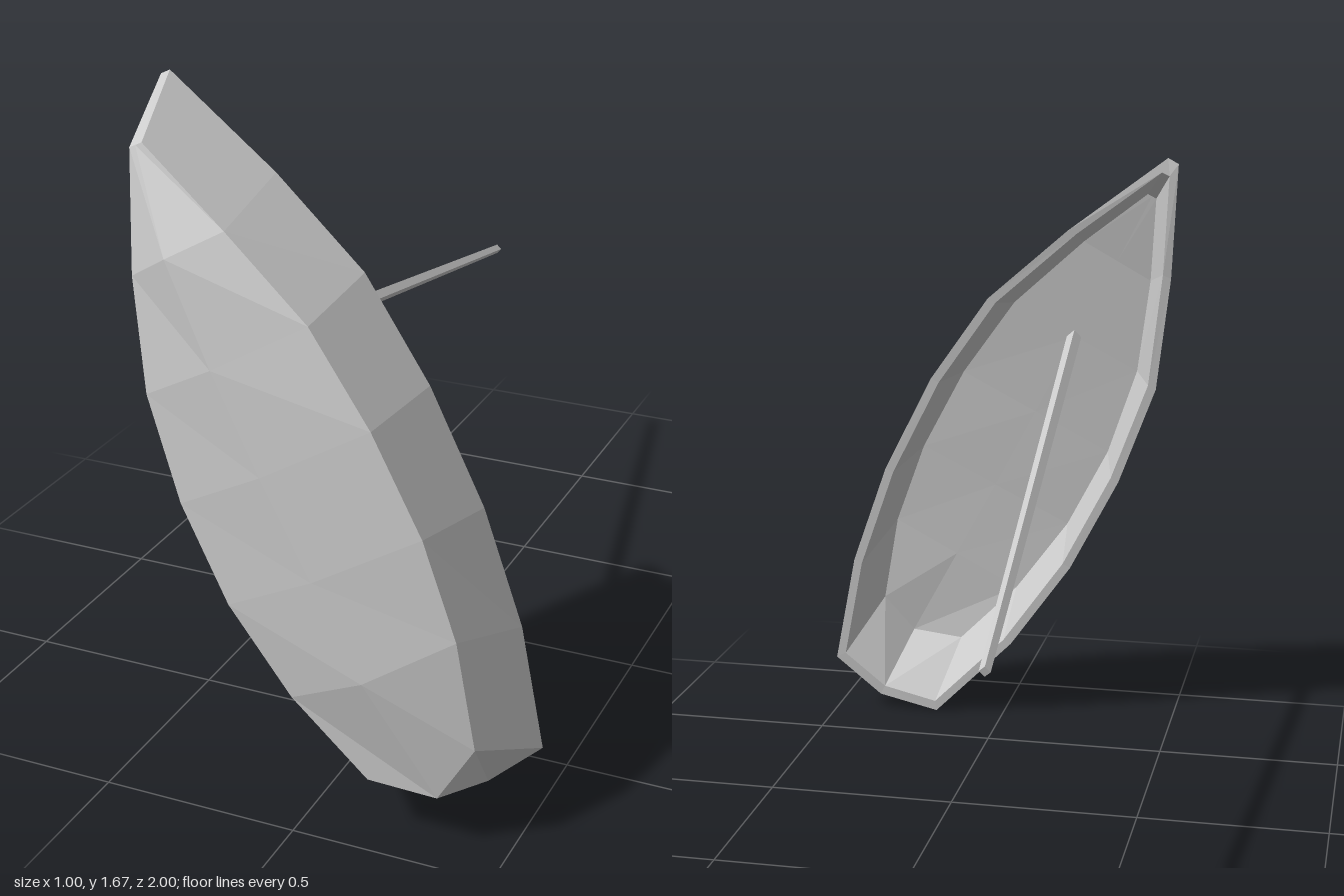
import * as THREE from 'three';

const V = (a) => new THREE.Vector3(...a);

// Hull lines from bow to stern, seven stations each
const rimRight = [[-0.505, 1.66, 0.56], [-0.485, 1.34, 0.62], [-0.445, 1.02, 0.66], [-0.34, 0.74, 0.69],
  [-0.2, 0.47, 0.71], [-0.025, 0.225, 0.71], [0.2, 0.002, 0.705]].map(V);
const chineRight = [[-0.437, 1.57, 0.825], [-0.417, 1.29, 0.88], [-0.38, 1.02, 0.91], [-0.295, 0.77, 0.93],
  [-0.175, 0.54, 0.945], [-0.02, 0.33, 0.945], [0.165, 0.147, 0.935]].map(V);
const keel = [[-0.42, 1.578, 0.828], [-0.3, 1.365, 0.935], [-0.18, 1.135, 0.968], [-0.06, 0.905, 0.985],
  [0.065, 0.675, 0.995], [0.185, 0.445, 1.0], [0.34, 0.142, 0.935]].map(V);
const chineLeft = [[-0.405, 1.585, 0.825], [-0.19, 1.42, 0.86], [0.015, 1.235, 0.875], [0.17, 1.02, 0.895],
  [0.295, 0.785, 0.905], [0.38, 0.55, 0.915], [0.425, 0.28, 0.915]].map(V);
const rimLeft = [[-0.475, 1.675, 0.57], [-0.2, 1.47, 0.59], [0.03, 1.27, 0.615], [0.2, 1.03, 0.64],
  [0.34, 0.755, 0.655], [0.44, 0.47, 0.665], [0.5, 0.16, 0.675]].map(V);
const transomTop = V([0.37, 0.045, 0.695]);

const LAST = 6;
const material = (side = THREE.FrontSide) =>
  new THREE.MeshStandardMaterial({ color: 0xcccccc, flatShading: true, side });

function meshFrom(name, points) {
  const geometry = new THREE.BufferGeometry().setFromPoints(points);
  geometry.computeVertexNormals();
  const mesh = new THREE.Mesh(geometry, material(THREE.DoubleSide));
  mesh.name = name;
  return mesh;
}

const quad = (out, a, b, c, d) => out.push(a, b, c, a, c, d);

// Skin over the stations, closed at bow and transom
function skin(stations, stern, inward) {
  const out = [];
  for (let i = 0; i < LAST; i++)
    for (let j = 0; j < 4; j++)
      quad(out, stations[i][j], stations[i + 1][j], stations[i + 1][j + 1], stations[i][j + 1]);
  const bow = stations[0], end = stations[LAST];
  for (let j = 1; j < 4; j++) out.push(bow[0], bow[j], bow[j + 1]);
  for (let j = 0; j < 4; j++) out.push(stern, end[j + 1], end[j]);
  return inward ? out.reverse() : out;
}

// Inner stations: ends pulled along the hull, sides pulled together, floor raised
function innerStations(outer) {
  return outer.map((ring, i) => {
    const base = ring.map((p, j) =>
      i === 0 ? p.clone().lerp(outer[1][j], 0.14) : i === LAST ? p.clone().lerp(outer[LAST - 1][j], 0.08) : p.clone());
    const inset = (a, b, d) => {
      const dist = a.distanceTo(b);
      return a.clone().lerp(b, Math.min(d / dist, 0.35));
    };
    const [a, b, k, c, d] = base;
    const ib = inset(b, c, 0.02), ic = inset(c, b, 0.02);
    ib.z -= 0.025;
    ic.z -= 0.025;
    const floor = i === LAST ? k.clone().add(V([-0.01, 0.02, -0.025])) : ib.clone().lerp(ic, 0.5);
    return [inset(a, d, 0.025), ib, floor, ic, inset(d, a, 0.025)];
  });
}

export function createModel() {
  const model = new THREE.Group();
  model.name = 'sailboat';

  const outer = keel.map((k, i) => [rimRight[i], chineRight[i], k, chineLeft[i], rimLeft[i]]);
  const inner = innerStations(outer);
  const innerTop = transomTop.clone().add(V([-0.013, 0.026, 0]));

  const hull = new THREE.Group();
  hull.name = 'hull';
  hull.add(meshFrom('outerHull', skin(outer, transomTop, false)));
  hull.add(meshFrom('innerHull', skin(inner, innerTop, true)));

  // Gunwale: flat strip joining the two skins
  const loop = (stations, stern) =>
    [...stations.map((s) => s[0]), stern, ...stations.map((s) => s[4]).reverse()];
  const o = loop(outer, transomTop), n = loop(inner, innerTop);
  const strip = [];
  o.forEach((p, i) => {
    const q = (i + 1) % o.length;
    quad(strip, p, n[i], n[q], o[q]);
  });
  hull.add(meshFrom('gunwale', strip));
  model.add(hull);

  // Mast: tapered square pole standing on the floor
  const foot = V([-0.18, 1.13, 0.85]), tip = V([-0.292, 0.72, -1]);
  const dir = tip.clone().sub(foot);
  const mast = new THREE.Mesh(new THREE.CylinderGeometry(0.013, 0.021, dir.length(), 4), material());
  mast.name = 'mast';
  mast.position.copy(foot).lerp(tip, 0.5);
  mast.quaternion.setFromUnitVectors(new THREE.Vector3(0, 1, 0), dir.normalize());
  model.add(mast);

  return model;
}
